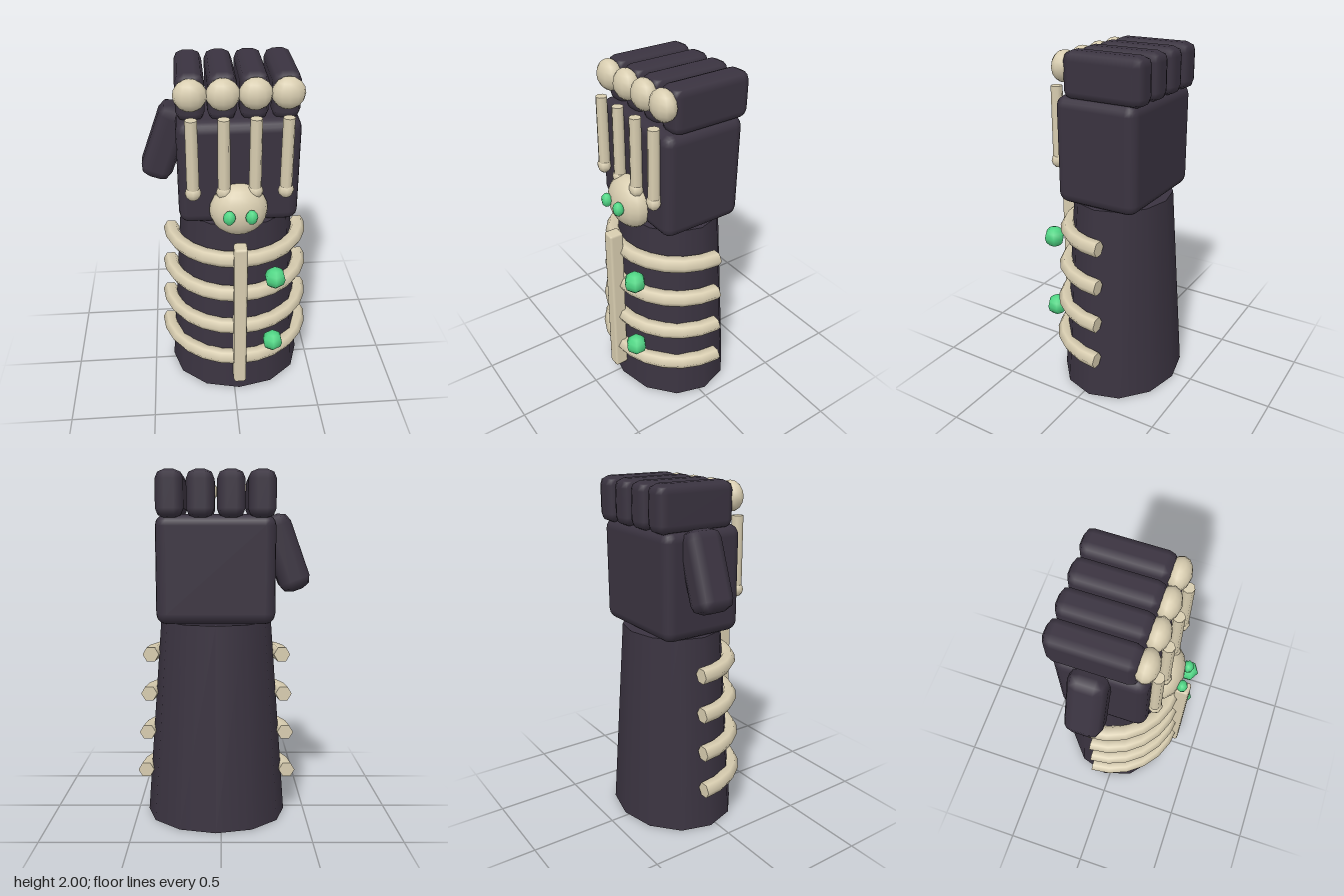
import * as THREE from 'three';
import { RoundedBoxGeometry } from 'three/addons/geometries/RoundedBoxGeometry.js';

export function createModel() {
  const model = new THREE.Group();
  model.name = 'skeletalGauntlet';
  const material = (name, color) => {
    const m = new THREE.MeshStandardMaterial({ color });
    m.name = name;
    return m;
  };
  const leather = material('darkLeather', 0x3a3340);
  const bone = material('bone', 0xd8cdb0);
  const gem = material('greenGem', 0x4fd584);

  const add = (name, geometry, mat, x, y, z, parent = model) => {
    const mesh = new THREE.Mesh(geometry, mat);
    mesh.name = name;
    mesh.position.set(x, y, z);
    parent.add(mesh);
    return mesh;
  };
  const ellipsoid = (rx, ry, rz, w = 12, h = 8) =>
    new THREE.SphereGeometry(1, w, h).scale(rx, ry, rz);

  // Tapered oval sleeve and blocky fist
  add('forearm', new THREE.CylinderGeometry(0.32, 0.41, 1.165, 12).scale(1, 1, 0.855),
    leather, 0.03, 0.5825, -0.038);
  add('palm', new RoundedBoxGeometry(0.66, 0.6, 0.495, 2, 0.06), leather, 0.03, 1.465, -0.042);
  const thumb = add('thumb', new RoundedBoxGeometry(0.18, 0.44, 0.21, 1, 0.06),
    leather, -0.358, 1.554, -0.085);
  thumb.rotation.z = -0.35;

  // Folded fingers, each with a knuckle and a hand bone
  for (let i = 0; i < 4; i++) {
    const x = -0.22 + i * 0.166;
    add('finger', new RoundedBoxGeometry(0.152, 0.255, 0.475, 1, 0.05), leather, x, 1.8725, -0.083);
    add('knuckle', ellipsoid(0.088, 0.084, 0.063), bone, x, 1.908, 0.175);
    add('handBone', new THREE.CylinderGeometry(0.032, 0.034, 0.42, 8), bone, x, 1.59, 0.232);
    add('handBoneEnd', ellipsoid(0.044, 0.044, 0.038, 8, 6), bone, x, 1.385, 0.235);
  }

  // Wrist boss with two small gems
  add('wristBoss', ellipsoid(0.16, 0.152, 0.107, 16, 12), bone, 0.025, 1.268, 0.22);
  for (const x of [-0.034, 0.086])
    add('smallGem', ellipsoid(0.034, 0.041, 0.031, 8, 6), gem, x, 1.28, 0.334);

  // Spine bar down the front of the sleeve
  add('spineBar', new RoundedBoxGeometry(0.076, 0.99, 0.085, 1, 0.015), bone, 0.028, 0.605, 0.336);

  // Half-ring ribs with closed ends
  const tube = 0.047;
  [0.27, 0.503, 0.737, 0.97].forEach((y, i) => {
    const radius = 0.419 - i * 0.0127;
    const rib = new THREE.Group();
    rib.name = 'rib';
    rib.position.set(0.028, y, -0.103);
    model.add(rib);
    add('ribArc', new THREE.TorusGeometry(radius, tube, 6, 12, Math.PI).rotateX(Math.PI / 2),
      bone, 0, 0, 0, rib);
    for (const side of [-1, 1])
      add('ribEnd', new THREE.CircleGeometry(tube, 6).rotateY(Math.PI), bone, side * radius, 0, 0, rib);
  });

  // Large gems between the ribs
  for (const y of [0.4, 0.87])
    add('largeGem', new THREE.SphereGeometry(0.063, 6, 6).rotateY(Math.PI / 6), gem, 0.226, y, 0.328);

  return model;
}
